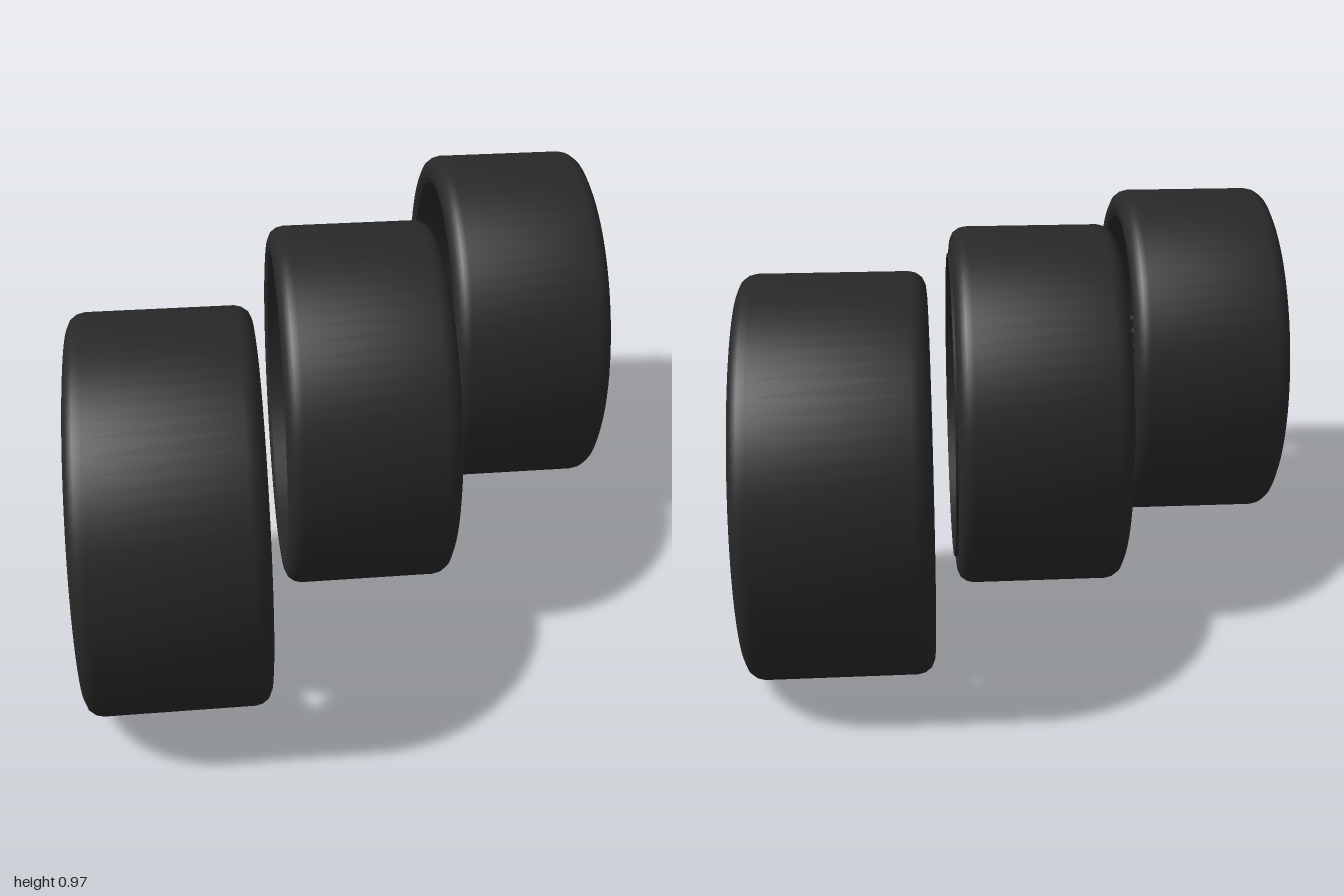
import * as THREE from 'three';
import { toCreasedNormals } from 'three/addons/utils/BufferGeometryUtils.js';

const material = (name, color) => {
  const m = new THREE.MeshStandardMaterial({ color });
  m.name = name;
  return m;
};

export function createModel() {
  const rubber = material('dark rubber', 0x282828);
  const metal = material('dark metal', 0x272727);
  const red = material('caliper red', 0xe80808);

  const add = (parent, name, geometry, mat, x = 0, y = 0, z = 0) => {
    const mesh = new THREE.Mesh(geometry, mat);
    mesh.name = name;
    mesh.position.set(x, y, z);
    parent.add(mesh);
    return mesh;
  };

  // Closed profile of [radius, x] points spun around the x axis
  const spin = (points, segments) => {
    const geo = new THREE.LatheGeometry(points.map(p => new THREE.Vector2(...p)), segments);
    return toCreasedNormals(geo.rotateZ(-Math.PI / 2), 0.6);
  };
  // Cylinder lying along the x axis
  const axle = (r1, r2, length, sides) =>
    new THREE.CylinderGeometry(r1, r2, length, sides).rotateZ(-Math.PI / 2);
  // Outline in (-z, y), extruded from x0 to x1
  const slab = (points, x0, x1, bevel = 0) => {
    const shape = new THREE.Shape(points.map(p => new THREE.Vector2(...p)));
    const geo = new THREE.ExtrudeGeometry(shape, {
      depth: x1 - x0 - 2 * bevel, bevelEnabled: bevel > 0,
      bevelSize: bevel, bevelThickness: bevel, bevelOffset: -bevel, bevelSegments: 1,
    });
    return geo.translate(0, 0, x0 + bevel).rotateY(Math.PI / 2);
  };

  // Tyre section: flat tread, bevelled shoulders, open bore
  const half = [[0.483, 0.178], [0.479, 0.195], [0.468, 0.21], [0.45, 0.218],
    [0.432, 0.22], [0.42, 0.218], [0.412, 0.212]];
  const mirrored = half.map(([r, x]) => [r, -x]).reverse();
  const tyreGeo = spin([...mirrored, ...half, mirrored[0]], 72);

  const barrelGeo = lip => spin([[0.412, -0.212], [0.412, lip], [0.408, lip],
    [0.408, -0.212], [0.412, -0.212]], 72);

  const caliperOutline = [[0.174, 0.223], [0.184, 0.221], [0.19, 0.2], [0.207, 0.183],
    [0.226, 0.145], [0.247, 0.118], [0.262, 0.065], [0.278, 0.015], [0.276, -0.055],
    [0.258, -0.085], [0.247, -0.135], [0.214, -0.185], [0.182, -0.212], [0.173, -0.21]];
  const rearOutline = caliperOutline.map(([u, v]) => [u, v * 0.9]);
  const bridgeOutline = [[0.235, 0.125], [0.26, 0.065], [0.274, 0.01], [0.268, -0.065],
    [0.245, -0.13], [0.228, -0.13], [0.25, -0.06], [0.256, 0], [0.249, 0.06], [0.221, 0.125]];
  const ridgeOutline = [[0.184, 0.135], [0.216, 0.13], [0.242, 0.085], [0.25, 0.01],
    [0.244, -0.06], [0.22, -0.125], [0.184, -0.14]];

  function brakeCaliper() {
    const caliper = new THREE.Group();
    caliper.name = 'brakeCaliper';
    add(caliper, 'caliperFront', slab(caliperOutline, 0.071, 0.125, 0.006), red);
    add(caliper, 'caliperRidge', slab(ridgeOutline, 0.11, 0.138, 0.006), red);
    add(caliper, 'caliperRear', slab(rearOutline, -0.02, 0.032, 0.006), red);
    add(caliper, 'caliperBridge', slab(bridgeOutline, -0.01, 0.08), red);
    add(caliper, 'topArm', new THREE.BoxGeometry(0.11, 0.022, 0.014), red, 0.035, 0.209, -0.181);
    // Dark opening and bolts on the outer face
    add(caliper, 'padWindow',
      slab([[0.198, 0.076], [0.236, 0.07], [0.228, 0.04], [0.214, 0.018]], 0.134, 0.141), metal);
    for (const [y, z] of [[0.16, -0.2], [0.02, -0.26], [-0.155, -0.21]]) {
      add(caliper, 'caliperBolt', axle(0.005, 0.005, 0.01, 6), metal, 0.126, y, z);
    }
    return caliper;
  }

  function wheel(name, x, z, lip, hasNuts, valveY) {
    const group = new THREE.Group();
    group.name = name;
    group.position.set(x, 0.485, z);
    add(group, 'tyre', tyreGeo, rubber);
    add(group, 'rimBarrel', barrelGeo(lip), metal);
    add(group, 'brakeDisc', axle(0.257, 0.257, 0.034, 20), metal, 0.053);
    // Centre cap and wheel nuts stand clear of the disc
    add(group, 'centreCap', axle(0.051, 0.052, 0.012, 32), metal, 0.186);
    if (hasNuts) {
      for (let i = 0; i < 5; i++) {
        const a = Math.PI / 2 + i * Math.PI * 0.4;
        add(group, 'wheelNut', axle(0.012, 0.014, 0.045, 10), metal,
          0.152, 0.094 * Math.sin(a), -0.094 * Math.cos(a));
      }
    }
    group.add(brakeCaliper());
    // Valve: slanted stem with a cap
    const valve = new THREE.Group();
    valve.name = 'valve';
    valve.position.set(0.103, valveY, 0);
    valve.rotation.z = 0.75;
    add(valve, 'valveStem', axle(0.006, 0.006, 0.046, 8), metal);
    add(valve, 'valveCap', axle(0.01, 0.011, 0.016, 10), metal, 0.016);
    group.add(valve);
    return group;
  }

  const model = new THREE.Group();
  model.name = 'wheelSet';
  model.add(
    wheel('frontWheel', -0.51, 0.517, 0.214, true, -0.367),
    wheel('middleWheel', 0, 0.005, 0.226, true, -0.354),
    wheel('backWheel', 0.51, -0.517, 0.214, false, -0.366),
  );
  return model;
}
